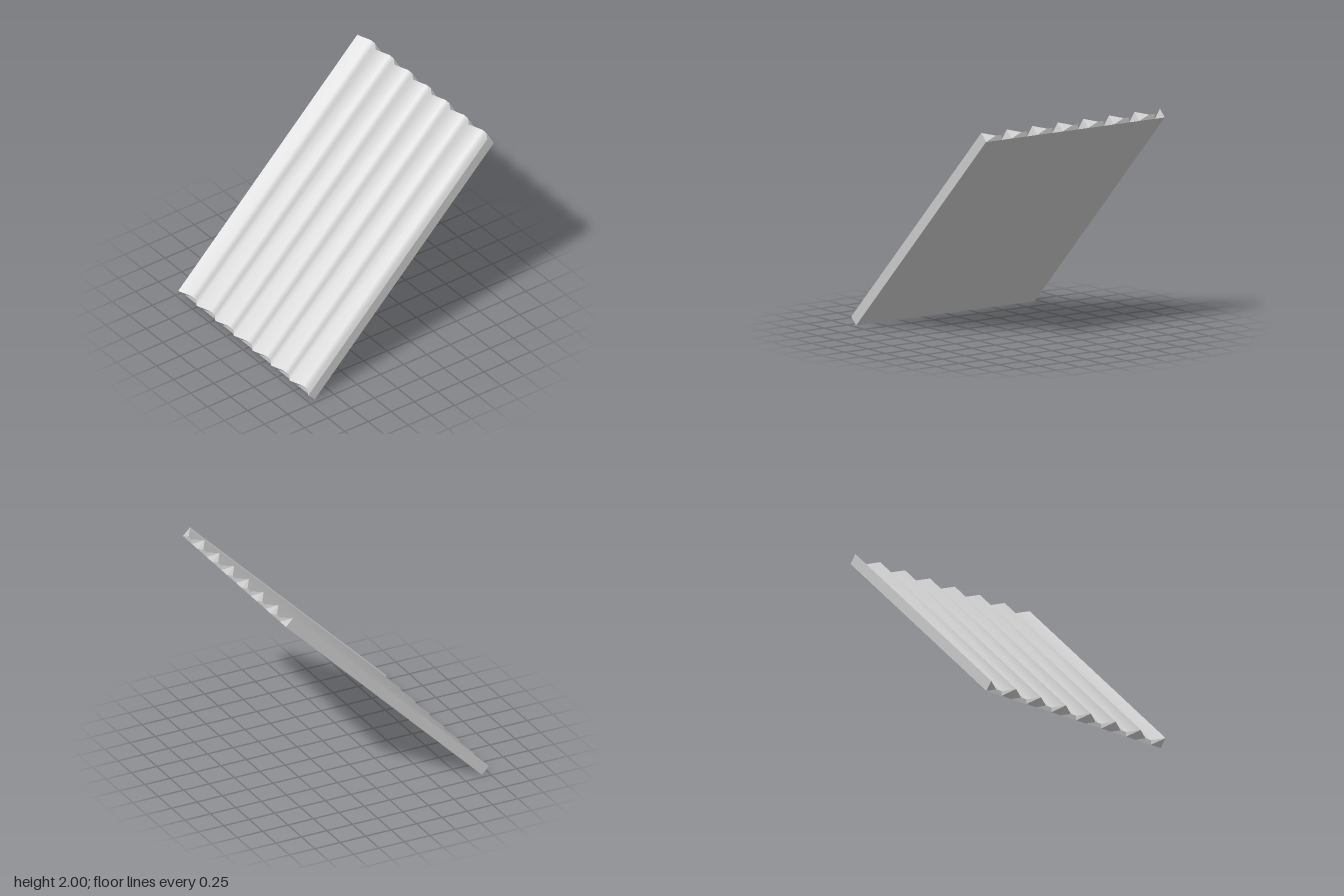
import * as THREE from 'three';

const HALF_WIDTH = 0.96;
const WAVES = 7;
const PITCH = (2 * HALF_WIDTH) / WAVES;
const VALLEY_HALF = 0.03; // half width of each flat valley floor

const material = new THREE.MeshStandardMaterial({ color: 0xcccccc });

// Sheet between two rows of points; it faces (along row a) x (from a to b).
function sheet(name, a, b, smooth = false) {
  const n = a.length;
  const index = [];
  for (let i = 0; i < n - 1; i++) {
    index.push(i, i + 1, n + i + 1, i, n + i + 1, n + i);
  }
  let geometry = new THREE.BufferGeometry().setFromPoints([...a, ...b]);
  geometry.setIndex(index);
  if (!smooth) geometry = geometry.toNonIndexed();
  geometry.computeVertexNormals();
  const mesh = new THREE.Mesh(geometry, material);
  mesh.name = name;
  return mesh;
}

export function createModel() {
  // Cross-section stations: a ridge, then the two edges of a valley floor
  const stations = [];
  for (let i = 0; i < WAVES; i++) {
    const x = -HALF_WIDTH + i * PITCH;
    stations.push(
      { x, drop: 0 },
      { x: x + PITCH / 2 - VALLEY_HALF, drop: 1 },
      { x: x + PITCH / 2 + VALLEY_HALF, drop: 1 },
    );
  }
  stations.push({ x: HALF_WIDTH, drop: 0 });

  // Valleys sink down and back from the ridge line
  const ridged = (y, z) => stations.map((s) => new THREE.Vector3(s.x, y - 0.025 * s.drop, z - 0.07 * s.drop));
  const straight = (y, z) => stations.map((s) => new THREE.Vector3(s.x, y, z));

  const topFront = ridged(0.07, 1);
  const topBack = ridged(2, -0.93);
  const baseFront = straight(0, 0.93);
  const baseBack = straight(1.93, -1);
  const last = stations.length - 1;

  const group = new THREE.Group();
  group.name = 'corrugatedRoofPanel';
  group.add(
    sheet('corrugatedTop', topFront, topBack, true),
    sheet('underside', baseBack, baseFront),
    sheet('lowerEnd', baseFront, topFront),
    sheet('upperEnd', topBack, baseBack),
    sheet('leftSide', [baseFront[last], baseBack[last]], [topFront[last], topBack[last]]),
    sheet('rightSide', [baseBack[0], baseFront[0]], [topBack[0], topFront[0]]),
  );
  return group;
}
